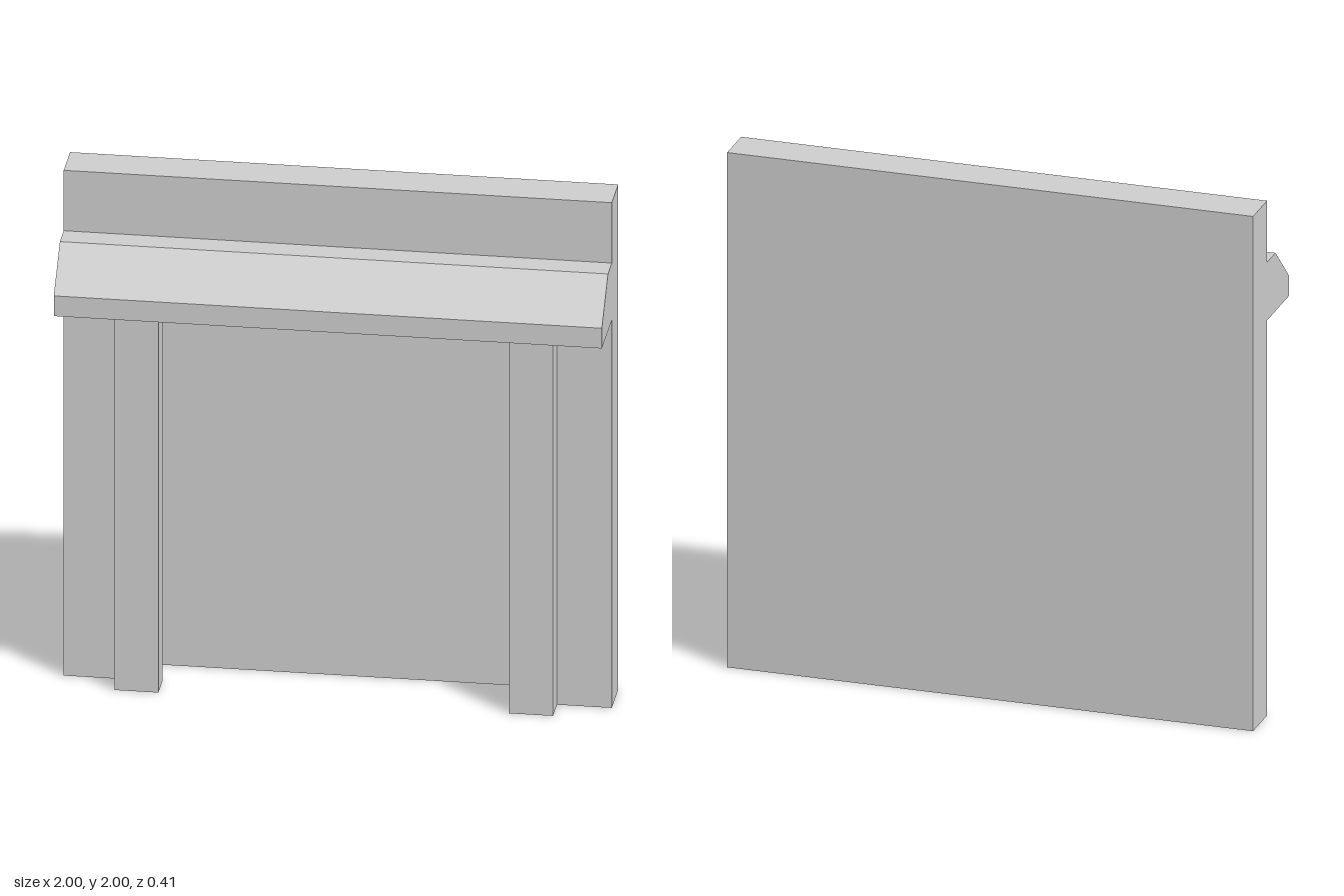
import * as THREE from 'three';

const BACK = -0.207, PANEL = -0.19, WALL = -0.045, FRONT = 0.207;
const LEDGE_BOTTOM = 1.535, LEDGE_TOP = 1.761;

export function createModel() {
  const group = new THREE.Group();
  const grey = new THREE.MeshStandardMaterial({ color: 0xcccccc });
  grey.name = 'light grey';

  const add = (name, geometry) => {
    const mesh = new THREE.Mesh(geometry, grey);
    mesh.name = name;
    group.add(mesh);
    return mesh;
  };
  const shapeOf = (points) => new THREE.Shape(points.map(([x, y]) => new THREE.Vector2(x, y)));

  // thin sheet closing the back of the opening
  add('backPanel', new THREE.BoxGeometry(2, 2, PANEL - BACK))
    .position.set(0, 1, (BACK + PANEL) / 2);

  // thick wall around a wide recess that is open at the floor
  const r = 0.68;
  const frame = shapeOf([
    [-1, 0], [-r, 0], [-r, LEDGE_BOTTOM], [r, LEDGE_BOTTOM],
    [r, 0], [1, 0], [1, 2], [-1, 2],
  ]);
  add('wallFrame', new THREE.ExtrudeGeometry(frame, { depth: WALL - PANEL, bevelEnabled: false }))
    .position.z = PANEL;

  // square pilasters overlapping the edges of the recess
  const pilasterDepth = 0.1;
  for (const [name, side] of [['leftPilaster', 1], ['rightPilaster', -1]]) {
    add(name, new THREE.BoxGeometry(0.16, LEDGE_BOTTOM, pilasterDepth))
      .position.set(side * 0.72, LEDGE_BOTTOM / 2, WALL + pilasterDepth / 2);
  }

  // full-width ledge with a sloping front, drawn as (-z, y) and turned to run along x
  const ledge = shapeOf([
    [-WALL, LEDGE_TOP], [-0.052, LEDGE_TOP], [-FRONT, 1.615],
    [-FRONT, LEDGE_BOTTOM], [-WALL, LEDGE_BOTTOM],
  ]);
  const ledgeGeometry = new THREE.ExtrudeGeometry(ledge, { depth: 2, bevelEnabled: false });
  ledgeGeometry.rotateY(Math.PI / 2).translate(-1, 0, 0);
  add('slopedLedge', ledgeGeometry);

  return group;
}
